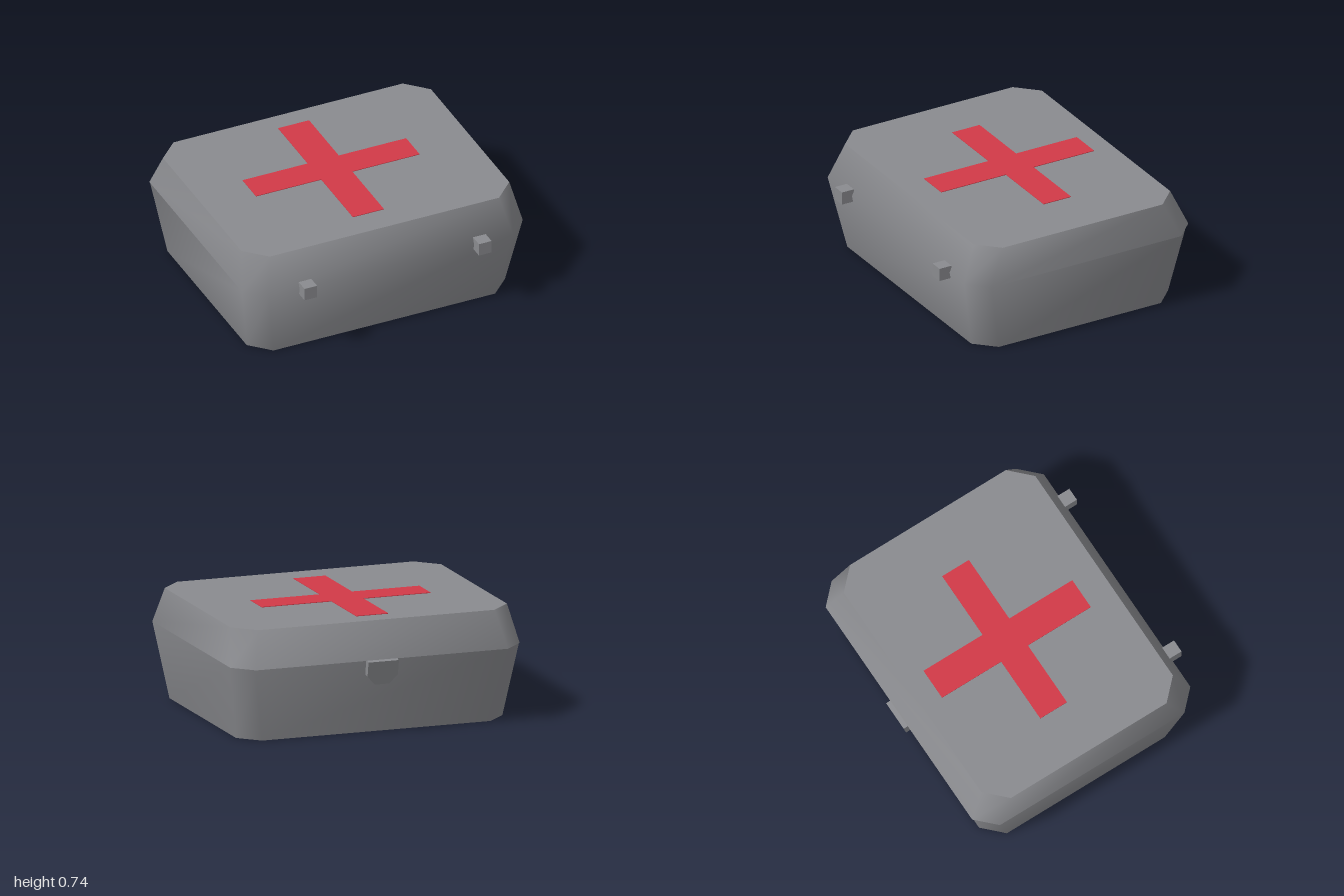
import * as THREE from 'three';
import { toCreasedNormals } from 'three/addons/utils/BufferGeometryUtils.js';

// Chamfered rectangle at height y, counter-clockwise seen from above
function ring(y, w, back, front, cut) {
  return [
    [w, front - cut], [w, back + cut], [w - cut, back], [cut - w, back],
    [-w, back + cut], [-w, front - cut], [cut - w, front], [w - cut, front],
  ].map(([x, z]) => new THREE.Vector3(x, y, z));
}

// Closed shell through a stack of rings, smooth around the corners, sharp at the caps
function loft(rings) {
  const points = [];
  const tri = (a, b, c) => {
    const area = new THREE.Triangle(a, b, c).getArea();
    if (area > 1e-7) points.push(a, b, c);
  };
  const n = rings[0].length;
  for (let r = 0; r < rings.length - 1; r++) {
    for (let i = 0; i < n; i++) {
      const j = (i + 1) % n;
      const low = rings[r], high = rings[r + 1];
      tri(low[i], low[j], high[j]);
      tri(low[i], high[j], high[i]);
    }
  }
  const bottom = rings[0], top = rings[rings.length - 1];
  for (let i = 1; i < n - 1; i++) {
    tri(bottom[0], bottom[i + 1], bottom[i]);
    tri(top[0], top[i], top[i + 1]);
  }
  const geometry = new THREE.BufferGeometry().setFromPoints(points);
  return toCreasedNormals(geometry, THREE.MathUtils.degToRad(58));
}

function polygon(coords) {
  return new THREE.Shape(coords.map(([x, y]) => new THREE.Vector2(x, y)));
}

export function createModel() {
  const group = new THREE.Group();
  const grey = new THREE.MeshStandardMaterial({ name: 'case grey', color: 0x8a8b8f });
  const red = new THREE.MeshStandardMaterial({ name: 'cross red', color: 0xd23a48 });

  const add = (name, geometry, material, x = 0, y = 0, z = 0) => {
    const mesh = new THREE.Mesh(geometry, material);
    mesh.name = name;
    mesh.position.set(x, y, z);
    group.add(mesh);
    return mesh;
  };

  // Case: tapered tray and lid, the lid slightly overhanging on the latch side
  add('case', loft([
    ring(0, 0.92, -0.76, 0.715, 0.13),
    ring(0.495, 1, -0.853, 0.815, 0.13),
    ring(0.495, 1, -0.865, 0.815, 0.13),
    ring(0.735, 0.955, -0.76, 0.715, 0.138),
  ]), grey);

  // Cross painted on the lid
  const cross = polygon([
    [-0.135, 0.62], [-0.135, 0.165], [-0.6, 0.165], [-0.6, -0.04],
    [-0.135, -0.04], [-0.135, -0.525], [0.085, -0.525], [0.085, -0.04],
    [0.565, -0.04], [0.565, 0.165], [0.085, 0.165], [0.085, 0.62],
  ]);
  const plate = new THREE.ExtrudeGeometry(cross, { depth: 0.004, bevelEnabled: false });
  add('lidCross', plate.rotateX(-Math.PI / 2), red, 0, 0.735, 0);

  // Hinge blocks
  for (const [name, x] of [['rightHinge', -0.605], ['leftHinge', 0.638]]) {
    add(name, new THREE.BoxGeometry(0.09, 0.088, 0.09), grey, x, 0.498, 0.845);
  }

  // Latch tab, tilted along the tray wall
  const tab = polygon([
    [-0.105, 0], [-0.105, -0.1], [-0.05, -0.16], [0.05, -0.16], [0.105, -0.1], [0.105, 0],
  ]);
  const latch = new THREE.ExtrudeGeometry(tab, { depth: 0.06, bevelEnabled: false });
  add('latch', latch, grey, 0, 0.49, -0.895).rotation.x = -0.19;

  return group;
}
